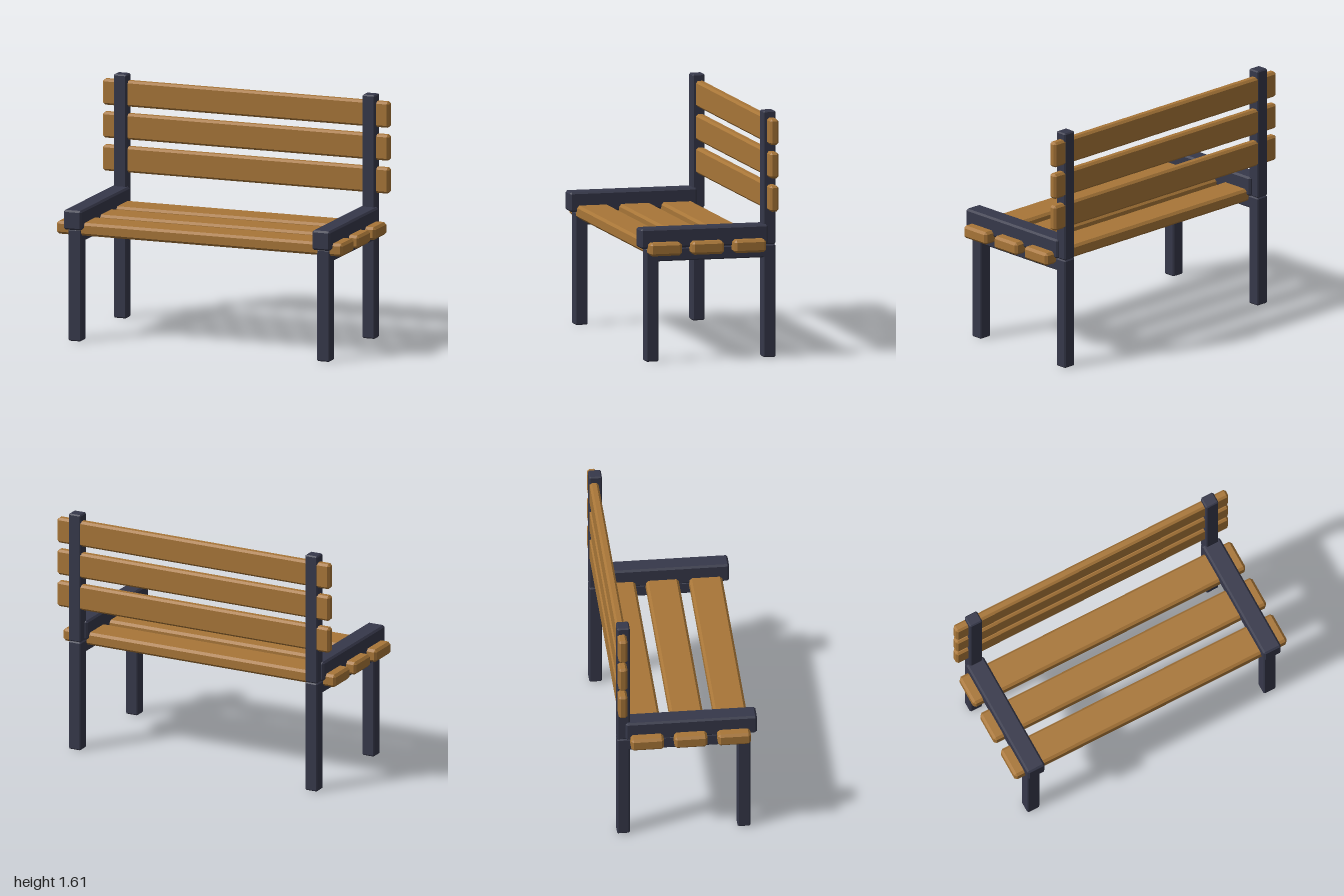
import * as THREE from 'three';
import { ConvexGeometry } from 'three/addons/geometries/ConvexGeometry.js';

const wood = new THREE.MeshStandardMaterial({ color: 0xa87638, flatShading: true });
const iron = new THREE.MeshStandardMaterial({ color: 0x36384a, flatShading: true });

// Box between two corners, with every edge chamfered by b
function chamferedBox(name, material, min, max, b) {
  const half = min.map((v, i) => (max[i] - v) / 2);
  const points = [];
  for (const sx of [-1, 1]) for (const sy of [-1, 1]) for (const sz of [-1, 1]) {
    for (let axis = 0; axis < 3; axis++) {
      const p = [sx, sy, sz].map((s, i) => s * (half[i] - (i === axis ? 0 : b)));
      points.push(new THREE.Vector3(...p));
    }
  }
  const mesh = new THREE.Mesh(new ConvexGeometry(points), material);
  mesh.position.set(...min.map((v, i) => (v + max[i]) / 2));
  mesh.name = name;
  return mesh;
}

export function createModel() {
  const bench = new THREE.Group();
  bench.name = 'bench';

  // Seat slats, front to back
  for (const z of [0.302, 0.019, -0.264]) {
    bench.add(chamferedBox('seatSlat', wood, [-1, 0.7, z - 0.107], [1, 0.785, z + 0.107], 0.016));
  }

  // Backrest slats, bottom to top
  for (const y of [1.047, 1.265, 1.483]) {
    bench.add(chamferedBox('backSlat', wood, [-1, y - 0.085, -0.453], [1, y + 0.085, -0.395], 0.014));
  }

  // Side frames: legs, seat rail, back post and armrest
  for (const [side, x] of [['left', 0.868], ['right', -0.868]]) {
    const frame = new THREE.Group();
    frame.name = side + 'Frame';
    const bar = (name, w, y0, y1, z0, z1, b) =>
      frame.add(chamferedBox(name, iron, [x - w, y0, z0], [x + w, y1, z1], b));
    bar('frontLeg', 0.045, 0, 0.74, 0.33, 0.415, 0.008);
    bar('backLeg', 0.045, 0, 0.74, -0.455, -0.372, 0.008);
    bar('seatRail', 0.045, 0.655, 0.74, -0.4, 0.4, 0.008);
    bar('backPost', 0.045, 0.74, 1.612, -0.455, -0.372, 0.008);
    bar('armrest', 0.063, 0.742, 0.872, -0.4, 0.455, 0.012);
    bench.add(frame);
  }
  return bench;
}
